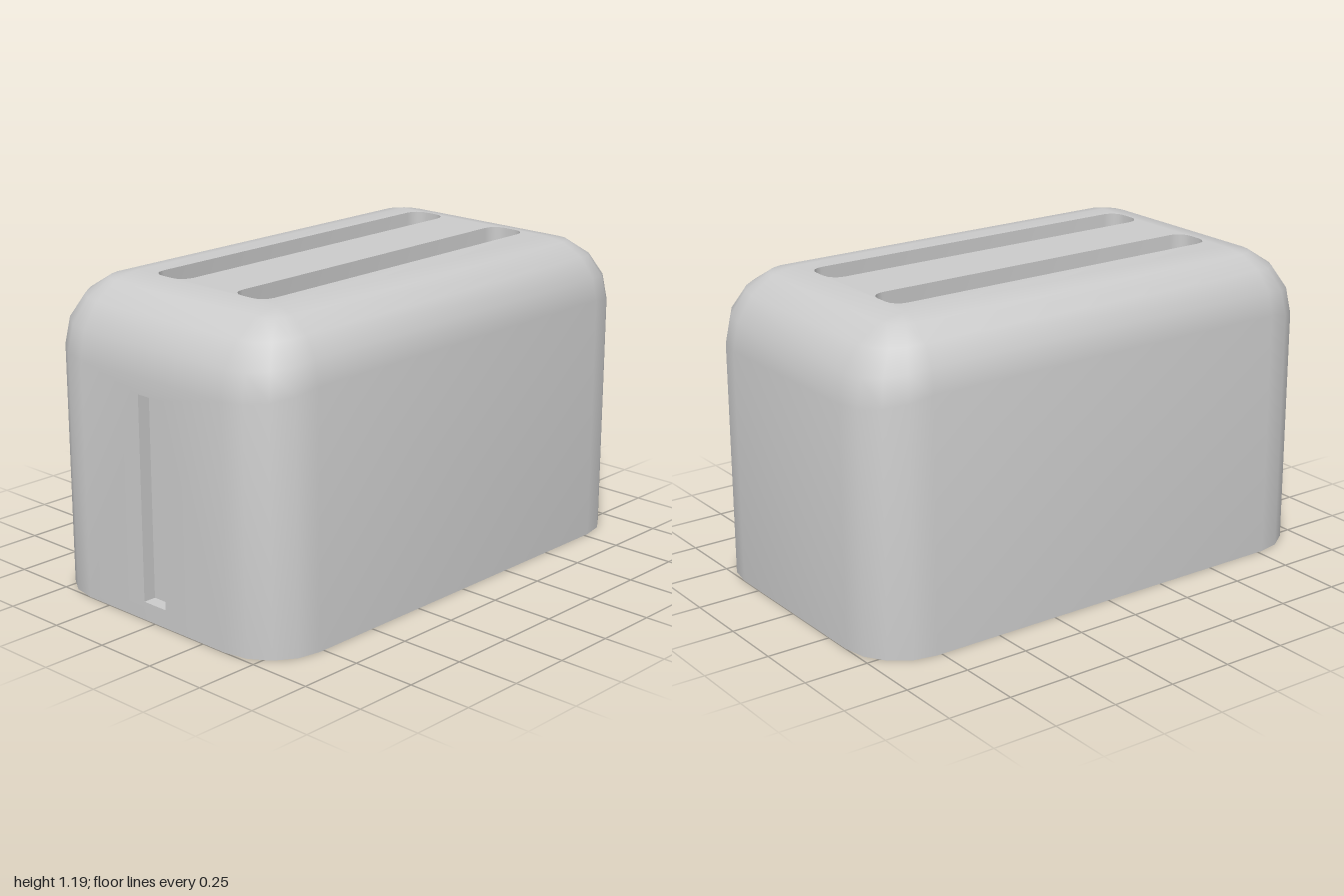
import * as THREE from 'three';
import { mergeGeometries, toCreasedNormals } from 'three/addons/utils/BufferGeometryUtils.js';

const TOP = 1.193, FLAT_X = 0.36, FLAT_Z = 0.72, SEG = 4;
const SIDE_R = 0.23, END_R = 0.28; // edge radius over the long sides and over the ends
const material = new THREE.MeshStandardMaterial({ color: 0xcccccc, side: THREE.DoubleSide });

// Rectangle outline centred on (cx, cy), counter-clockwise, with optional round corners
function rectPoints(cx, cy, w, h, r = 0) {
  const pts = [], n = r ? 4 : 0;
  for (let q = 0; q < 4; q++) {
    const sx = q === 0 || q === 3 ? 1 : -1, sy = q < 2 ? 1 : -1;
    for (let k = 0; k <= n; k++) {
      const a = (q + (n ? k / n : 0)) * Math.PI / 2;
      pts.push(new THREE.Vector2(
        cx + sx * (w / 2 - r) + r * Math.cos(a),
        cy + sy * (h / 2 - r) + r * Math.sin(a)));
    }
  }
  return pts;
}

// Flat panel in XY with holes, position only
function panel(outline, holes = []) {
  const shape = new THREE.Shape(outline);
  shape.holes = holes.map((h) => new THREE.Path(h));
  const g = new THREE.ShapeGeometry(shape).toNonIndexed();
  g.deleteAttribute('uv');
  g.deleteAttribute('normal');
  return g;
}

function fromPositions(pos) {
  const g = new THREE.BufferGeometry();
  g.setAttribute('position', new THREE.Float32BufferAttribute(pos, 3));
  return g;
}

// Recess with walls and a floor, sunk along -z from its outline
function pocket(points, depth) {
  const pos = [];
  points.forEach((a, i) => {
    const b = points[(i + 1) % points.length];
    pos.push(a.x, a.y, 0, b.x, b.y, 0, b.x, b.y, -depth);
    pos.push(a.x, a.y, 0, b.x, b.y, -depth, a.x, a.y, -depth);
  });
  const floor = panel(points).translate(0, 0, -depth);
  return toCreasedNormals(mergeGeometries([fromPositions(pos), floor]), 0.7);
}

// One horizontal ring of the housing at edge angle t
function ring(t, isBase) {
  const pts = [];
  for (let q = 0; q < 4; q++) {
    const sx = q === 0 || q === 3 ? 1 : -1, sz = q < 2 ? 1 : -1;
    for (let k = 0; k <= SEG; k++) {
      const a = (q + k / SEG) * Math.PI / 2, c = Math.cos(t);
      const ry = SIDE_R + (END_R - SIDE_R) * Math.abs(Math.sin(a));
      pts.push([
        sx * FLAT_X + 0.235 * Math.cos(a) * c,
        isBase ? 0 : TOP - ry * (1 - Math.sin(t)),
        sz * (FLAT_Z + (END_R - SIDE_R) * c) + SIDE_R * Math.sin(a) * c,
      ]);
    }
  }
  return pts;
}

// Rounded, open-bottomed shell with panels cut for the slots
function housing(frontHole, slotHoles) {
  const rings = [ring(0, true)];
  for (let i = 0; i <= SEG; i++) rings.push(ring(i / SEG * Math.PI / 2, false));
  const pos = [], n = rings[0].length;
  for (let i = 0; i < rings.length - 1; i++) {
    for (let j = 0; j < n; j++) {
      if (i === 0 && j === SEG) continue; // front wall is a separate panel
      const k = (j + 1) % n;
      const a = rings[i][j], b = rings[i + 1][j], c = rings[i + 1][k], d = rings[i][k];
      pos.push(...a, ...b, ...c, ...a, ...c, ...d);
    }
  }
  const frontH = TOP - END_R;
  const front = panel(rectPoints(0, frontH / 2, 2 * FLAT_X, frontH), [frontHole]).translate(0, 0, 1);
  const top = panel(rectPoints(0, 0, 2 * FLAT_X, 2 * FLAT_Z), slotHoles)
    .rotateX(-Math.PI / 2).translate(0, TOP, 0);
  return toCreasedNormals(mergeGeometries([fromPositions(pos), front, top]), 0.7);
}

export function createModel() {
  const model = new THREE.Group();
  model.name = 'toaster';
  const add = (name, geometry) => {
    const mesh = new THREE.Mesh(geometry, material);
    mesh.name = name;
    model.add(mesh);
    return mesh;
  };

  const leverHole = rectPoints(0, 0.46, 0.112, 0.78);
  const slots = [1, -1].map((s) => rectPoints(s * 0.204, 0, 0.16, 1.436, 0.055));

  add('housing', housing(leverHole, slots));

  // Shallow lever track in the front wall
  add('leverTrack', pocket(leverHole, 0.05)).position.z = 1;

  // Deep bread slots hanging inside the shell
  slots.forEach((points, i) => {
    const slot = add(i ? 'rightBreadSlot' : 'leftBreadSlot', pocket(points, 0.95));
    slot.rotation.x = -Math.PI / 2;
    slot.position.y = TOP;
  });
  return model;
}
